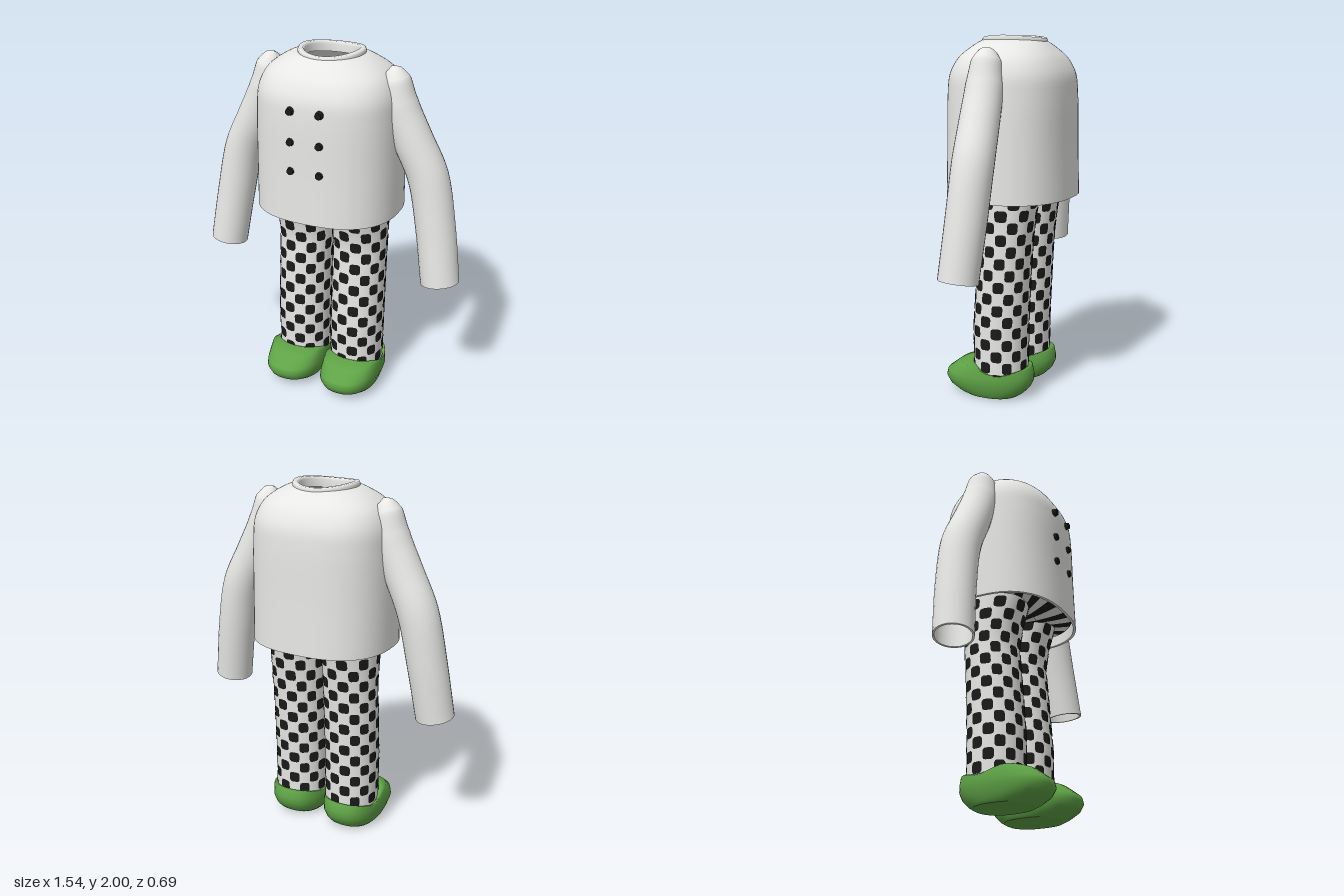
import * as THREE from 'three';
import { mergeGeometries } from 'three/addons/utils/BufferGeometryUtils.js';

const mat = (name, color) => new THREE.MeshStandardMaterial({ name, color, side: THREE.DoubleSide });
const V = (x, y, z) => new THREE.Vector3(x, y, z);
const TAU = Math.PI * 2;

// superellipse: angle 0 faces +z, growing toward +x
function oval(a, hx, hz, n = 2) {
  const f = (v) => Math.sign(v) * Math.pow(Math.abs(v), 2 / n);
  return [hx * f(Math.sin(a)), hz * f(Math.cos(a))];
}

// skin rings of points together, listed from bottom to top
function loft(rings) {
  const n = rings[0].length, pos = [], idx = [];
  rings.forEach((r) => r.forEach((p) => pos.push(p.x, p.y, p.z)));
  for (let i = 0; i < rings.length - 1; i++) for (let j = 0; j < n; j++) {
    const k = (j + 1) % n, a = i * n + j, b = i * n + k, c = a + n, d = b + n;
    idx.push(a, b, d, a, d, c);
  }
  return geo(pos, idx);
}

function geo(pos, idx) {
  const g = new THREE.BufferGeometry();
  g.setAttribute('position', new THREE.Float32BufferAttribute(pos, 3));
  g.setIndex(idx);
  g.computeVertexNormals();
  return g;
}

// flat fan of points around a centre
function fan(center, rim) {
  const pos = [center, ...rim].flatMap((p) => [p.x, p.y, p.z]);
  return geo(pos, rim.flatMap((_, i) => [0, 1 + i, 1 + (i + 1) % rim.length]));
}

const ring = (n, fn) => Array.from({ length: n }, (_, i) => fn(i / n * TAU));
const smooth = (rows) => new THREE.CatmullRomCurve3(rows.map((r) => V(...r)), false, 'centripetal');

export function createModel() {
  const root = new THREE.Group();
  const white = mat('cloth white', 0xeaeae8);
  const black = mat('check black', 0x1a1a1a);
  const green = mat('shoe green', 0x5fa346);
  const add = (parent, name, g, m) => {
    const o = new THREE.Mesh(g, m);
    o.name = name;
    parent.add(o);
    return o;
  };

  // jacket body: half width, height, half depth
  const body = smooth([[0.4, 1.12, 0.345], [0.398, 1.4, 0.337], [0.392, 1.68, 0.332], [0.383, 1.79, 0.32],
    [0.35, 1.87, 0.28], [0.3, 1.92, 0.235], [0.22, 1.965, 0.185], [0.165, 1.978, 0.165]]).getPoints(32);
  const bodyRing = (p, inset) => ring(64, (a) => {
    const n = THREE.MathUtils.lerp(2, 2.5, THREE.MathUtils.smoothstep(p.x, 0.18, 0.36));
    const [x, z] = oval(a, p.x - inset, p.z - inset, n);
    return V(x, p.y, z);
  });
  const jacket = new THREE.Group();
  jacket.name = 'jacket';
  root.add(jacket);
  add(jacket, 'jacketBody', loft(body.map((p) => bodyRing(p, 0))), white);
  add(jacket, 'jacketLining', loft(body.map((p) => bodyRing(V(p.x, p.y - (p.y - 1.12) * 0.015, p.z), 0.015)).reverse()), white);
  add(jacket, 'jacketHem', loft([bodyRing(body[0], 0.015), bodyRing(body[0], 0)]), white);

  // collar band, dipping at front and back
  const collar = [[0.178, 1.965], [0.181, 1.988], [0.174, 2], [0.152, 2], [0.145, 1.985], [0.145, 1.945]];
  add(jacket, 'collar', loft(collar.map(([r, y]) => ring(48, (a) =>
    V(r * Math.sin(a), y - 0.016 * Math.cos(a) ** 2, r * Math.cos(a) - 0.005)))), white);

  // two columns of buttons
  for (const x of [-0.082, 0.082]) for (const y of [1.41, 1.57, 1.735]) {
    const b = add(jacket, 'button', new THREE.CylinderGeometry(0.018, 0.023, 0.025, 16), black);
    b.rotation.x = Math.PI / 2;
    b.position.set(x, y, 0.335);
  }

  // sleeve: centre line with a radius at each point
  const path = smooth([[0.335, 1.935, 0], [0.345, 1.915, 0], [0.36, 1.865, 0], [0.385, 1.74, 0], [0.465, 1.555, -0.005],
    [0.555, 1.36, -0.012], [0.615, 1.08, 0], [0.665, 0.765, 0.025]]);
  const radii = [0.004, 0.045, 0.08, 0.1, 0.106, 0.11, 0.109, 0.107];
  const sleeveRing = (t, inset, s) => {
    const c = path.getPoint(t), d = path.getTangent(t);
    const out = V(-d.y, d.x, 0).normalize(), side = out.clone().cross(d).normalize();
    const k = Math.min(Math.floor(t * 7), 6);
    const r = THREE.MathUtils.lerp(radii[k], radii[k + 1], t * 7 - k) - inset;
    return ring(28, (a) => {
      const p = c.clone().addScaledVector(out, r * Math.sin(a)).addScaledVector(side, r * Math.cos(a));
      p.x *= s;
      return p;
    });
  };
  for (const s of [1, -1]) {
    const sleeve = new THREE.Group();
    sleeve.name = s > 0 ? 'leftSleeve' : 'rightSleeve';
    root.add(sleeve);
    const span = (t0, t1, inset, n) => {
      const rows = Array.from({ length: n + 1 }, (_, i) => sleeveRing(t0 + (t1 - t0) * i / n, inset, s));
      return loft(s > 0 ? rows.reverse() : rows);
    };
    add(sleeve, 'sleeveOuter', span(0, 1, 0, 42), white);
    add(sleeve, 'sleeveLining', span(1, 0.4, 0.011, 18), white);
    add(sleeve, 'cuffRim', loft([sleeveRing(1, 0.011, s), sleeveRing(1, 0, s)]), white);
  }

  // trouser leg: height, centre z, half width, half depth
  const legRows = [[0.08, 0.005, 0.15, 0.15], [0.4, 0.005, 0.153, 0.153], [0.75, -0.015, 0.152, 0.148],
    [0.9, -0.026, 0.153, 0.147], [1.02, -0.024, 0.155, 0.165], [1.16, -0.015, 0.158, 0.2]];
  const legPoint = (s, a, y, lift = 0) => {
    let i = 0;
    while (i < legRows.length - 2 && y > legRows[i + 1][0]) i++;
    const A = legRows[i], B = legRows[i + 1], t = (y - A[0]) / (B[0] - A[0]);
    const [cz, hx, hz] = [1, 2, 3].map((k) => THREE.MathUtils.lerp(A[k], B[k], t));
    const [x, z] = oval(a, hx + lift, hz + lift, 2.15);
    return V(s * 0.168 + x, y, cz + z);
  };
  const cols = 16, rows = 16, y0 = 0.09, rowH = 0.066;
  for (const s of [1, -1]) {
    const leg = new THREE.Group();
    leg.name = s > 0 ? 'leftTrouserLeg' : 'rightTrouserLeg';
    root.add(leg);
    add(leg, 'legCloth', loft(Array.from({ length: 25 }, (_, i) =>
      ring(48, (a) => legPoint(s, a, 0.08 + 1.08 * i / 24)))), white);
    // rounded checks
    const checks = [];
    for (let r = 0; r < rows; r++) for (let c = r % 2; c < cols; c += 2) {
      const a = (c + 0.5) / cols * TAU, y = y0 + (r + 0.5) * rowH;
      checks.push(fan(legPoint(s, a, y, 0.003), ring(12, (q) => {
        const [dy, dx] = oval(q + TAU / 24, 0.48, 0.49, 4);
        return legPoint(s, a + dx / cols * TAU, y + dy * rowH, 0.003);
      }).reverse()));
    }
    checks.forEach((g) => g.index.array.reverse());
    add(leg, 'legChecks', mergeGeometries(checks), black);
  }

  // trouser waist spreading to the jacket lining, with radial stripes
  const hip = (a, v) => {
    const [x, z] = oval(a, 0.382 * v, 0.325 * v, 2.4);
    return V(x, 1.125 + 0.055 * v * v, z);
  };
  const stripes = { white: [], black: [] };
  for (let i = 0; i < 32; i++) {
    const pos = [], idx = [];
    for (let j = 0; j <= 6; j++) for (let k = 0; k <= 2; k++) {
      const p = hip((i + k / 2) / 32 * TAU, 0.2 + 0.8 * j / 6);
      pos.push(p.x, p.y, p.z);
      if (j < 6 && k < 2) {
        const q = j * 3 + k;
        idx.push(q, q + 3, q + 4, q, q + 4, q + 1);
      }
    }
    stripes[i % 2 ? 'black' : 'white'].push(geo(pos, idx));
  }
  add(root, 'waistCloth', mergeGeometries(stripes.white), white);
  add(root, 'waistStripes', mergeGeometries(stripes.black), black);
  add(root, 'waistCentre', fan(hip(0, 0), ring(64, (a) => hip(a, 0.2))), white);
  add(root, 'crotchSeam', new THREE.BoxGeometry(0.075, 0.008, 0.29), black).position.y = 1.14;

  // shoe: height, front z, back z, half width
  const shoeRows = [[0.004, 0.21, -0.11, 0.13], [0.02, 0.25, -0.135, 0.145], [0.05, 0.305, -0.165, 0.155],
    [0.09, 0.328, -0.183, 0.168], [0.125, 0.318, -0.183, 0.166]];
  const shoeRing = ([y, f, b, hx], s, top) => ring(40, (a) => {
    const [x, z] = oval(a, hx, (f - b) / 2, 2.4);
    const zz = z + (f + b) / 2;
    return V(s * 0.174 + x, top ? top(zz) : y, zz);
  });
  const rim = (z) => z > -0.02 ? 0.15 + 0.052 * THREE.MathUtils.smoothstep(z, -0.02, 0.16)
    : 0.15 + 0.026 * THREE.MathUtils.smoothstep(-z, 0.02, 0.16);
  for (const s of [1, -1]) {
    const shoe = new THREE.Group();
    shoe.name = s > 0 ? 'leftShoe' : 'rightShoe';
    root.add(shoe);
    const skin = shoeRows.map((r) => shoeRing(r, s));
    skin.push(shoeRing([0, 0.25, -0.172, 0.163], s, (z) => rim(z) - 0.025 * (z > 0 ? z / 0.25 : 0.3)));
    skin.push(shoeRing([0, 0.172, -0.158, 0.157], s, rim));
    skin.push(shoeRing([0, 0.13, -0.13, 0.135], s, (z) => rim(z) - 0.015));
    add(shoe, 'shoeUpper', loft(skin), green);
    add(shoe, 'shoeSole', fan(V(s * 0.174, 0, 0.05), skin[0].slice().reverse()), green);
  }
  return root;
}
